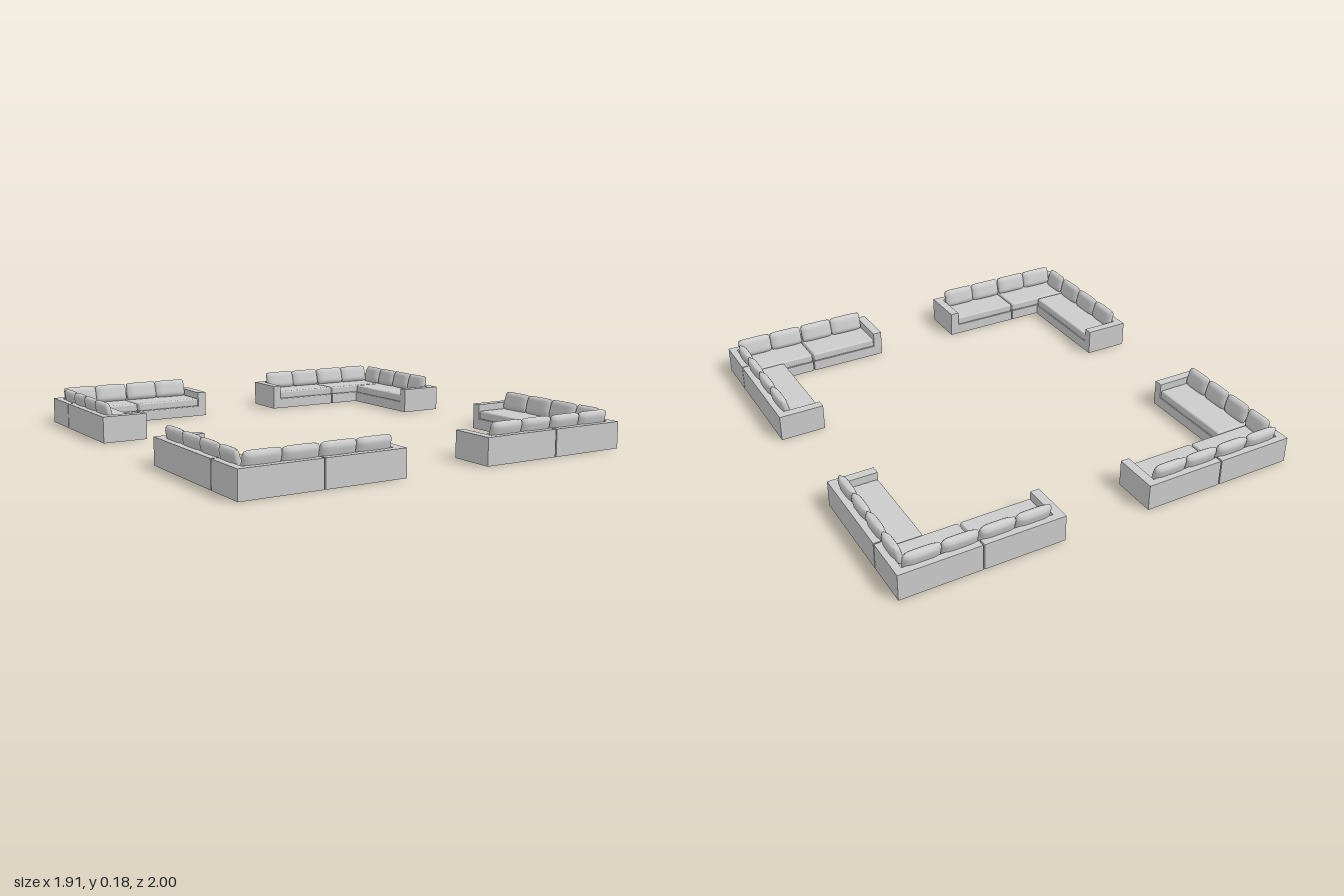
import * as THREE from 'three';
import { mergeVertices } from 'three/addons/utils/BufferGeometryUtils.js';
import { RoundedBoxGeometry } from 'three/addons/geometries/RoundedBoxGeometry.js';

const HALF_X = 0.953, HALF_Z = 1;          // outer corner of every sofa
const DEPTH = 0.212, WALL_TOP = 0.122, DECK = 0.05, SKIN = 0.006;
const BACK = 0.034, ARM = 0.042, SEAT_TOP = 0.09;
const material = new THREE.MeshStandardMaterial({ color: 0xcccccc });

function add(parent, name, geometry, x, y, z) {
  const mesh = new THREE.Mesh(geometry, material);
  mesh.name = name;
  mesh.position.set(x, y, z);
  parent.add(mesh);
  return mesh;
}

// Upright wall: thin skirt to the floor, thicker above the deck; outer face at local x = 0
function wallGeometry(thickness, length) {
  const points = thickness > 0
    ? [[0, 0], [SKIN, 0], [SKIN, DECK], [thickness, DECK], [thickness, WALL_TOP], [0, WALL_TOP]]
    : [[0, 0], [SKIN, 0], [SKIN, DECK], [0, DECK]];
  const shape = new THREE.Shape(points.map(([x, y]) => new THREE.Vector2(x, y)));
  const geometry = new THREE.ExtrudeGeometry(shape, { depth: length, bevelEnabled: false });
  return geometry.translate(0, 0, -length / 2);
}

// Soft cushion: a box whose rim is pinched thinner and whose corners are rounded
function pillowGeometry(width, height, thickness) {
  let geometry = new THREE.BoxGeometry(2, 2, 2, 16, 12, 6);
  geometry.deleteAttribute('uv');
  geometry.deleteAttribute('normal');
  geometry = mergeVertices(geometry, 1e-4);
  const p = geometry.attributes.position;
  for (let i = 0; i < p.count; i++) {
    const u = p.getX(i), v = p.getY(i), w = p.getZ(i);
    const pinch = (1 - 0.45 * u ** 6) * (1 - 0.45 * v ** 6);
    const inset = 1 - 0.06 * w ** 4;
    p.setXYZ(i,
      u * (1 - 0.05 * v ** 6) * inset * width / 2,
      v * (1 - 0.06 * u ** 6) * inset * height / 2,
      w * pinch * (1 - 0.1 * (u * u + v * v) / 2) * thickness / 2);
  }
  geometry.computeVertexNormals();
  return geometry;
}

// One corner sofa; plan coordinates (a, b) run inwards from its outer corner
function cornerSofa(name, sx, sz, sideEnd) {
  const sofa = new THREE.Group();
  sofa.name = name;
  const X = a => sx * (HALF_X - a), Z = b => sz * (HALF_Z - b);

  // A seat section spanning a0..a1, b0..b1 with wall thicknesses on its four sides
  function section(label, a0, a1, b0, b1, walls) {
    const group = new THREE.Group();
    group.name = label;
    sofa.add(group);
    const am = (a0 + a1) / 2, bm = (b0 + b1) / 2;
    const sides = [
      [a0, bm, sx, 0, b1 - b0, walls[0]], [a1, bm, -sx, 0, b1 - b0, walls[1]],
      [am, b0, 0, sz, a1 - a0, walls[2]], [am, b1, 0, -sz, a1 - a0, walls[3]],
    ];
    for (const [a, b, ox, oz, length, t] of sides) {
      const part = t === ARM ? 'arm' : t === BACK ? 'backrest' : 'baseRail';
      const wall = add(group, part, wallGeometry(t, length), X(a), 0, Z(b));
      wall.rotation.y = Math.atan2(oz, -ox);
    }
    // Deck and seat cushion inside the walls
    add(group, 'deck', new THREE.BoxGeometry(a1 - a0 - 0.008, 0.006, b1 - b0 - 0.008), X(am), DECK, Z(bm));
    const g = 0.001;
    const s0 = a0 + walls[0] + g, s1 = a1 - walls[1] - g, t0 = b0 + walls[2] + g, t1 = b1 - walls[3] - g;
    const seat = new RoundedBoxGeometry(s1 - s0, SEAT_TOP - DECK, t1 - t0, 3, 0.009);
    add(group, 'seatCushion', seat, X((s0 + s1) / 2), (SEAT_TOP + DECK) / 2 + 0.001, Z((t0 + t1) / 2));
  }
  section('cornerSection', 0, 0.367, 0, DEPTH, [BACK, 0, BACK, 0]);
  section('longSection', 0.373, 0.747, 0, DEPTH, [0, ARM, BACK, 0]);
  section('sideSection', 0, DEPTH, 0.217, sideEnd, [BACK, 0, 0, ARM]);

  // Back cushions lean outwards over the backrests
  const lean = 0.26, height = 0.088, thick = 0.044, offset = 0.048, y = 0.132;
  for (const [a0, a1] of [[0.043, 0.205], [0.207, 0.367], [0.374, 0.533], [0.535, 0.697]]) {
    const c = add(sofa, 'backCushion', pillowGeometry(a1 - a0, height, thick), X((a0 + a1) / 2), y, Z(offset));
    c.rotation.x = sz * lean;
  }
  const start = 0.222, step = (sideEnd - ARM - start) / 3;
  const spans = [[0.084, 0.21]];
  for (let i = 0; i < 3; i++) spans.push([start + i * step, start + (i + 1) * step - 0.006]);
  for (const [b0, b1] of spans) {
    const geometry = pillowGeometry(b1 - b0, height, thick).rotateY(Math.PI / 2);
    const c = add(sofa, 'sideBackCushion', geometry, X(offset), y, Z((b0 + b1) / 2));
    c.rotation.z = -sx * lean;
  }
  return sofa;
}

export function createModel() {
  const model = new THREE.Group();
  model.name = 'cornerSofaSet';
  // The front pair has slightly longer side sections
  for (const sx of [1, -1]) {
    const side = sx > 0 ? 'Left' : 'Right';
    model.add(cornerSofa('front' + side + 'Sofa', sx, 1, 0.743));
    model.add(cornerSofa('back' + side + 'Sofa', sx, -1, 0.687));
  }
  return model;
}
